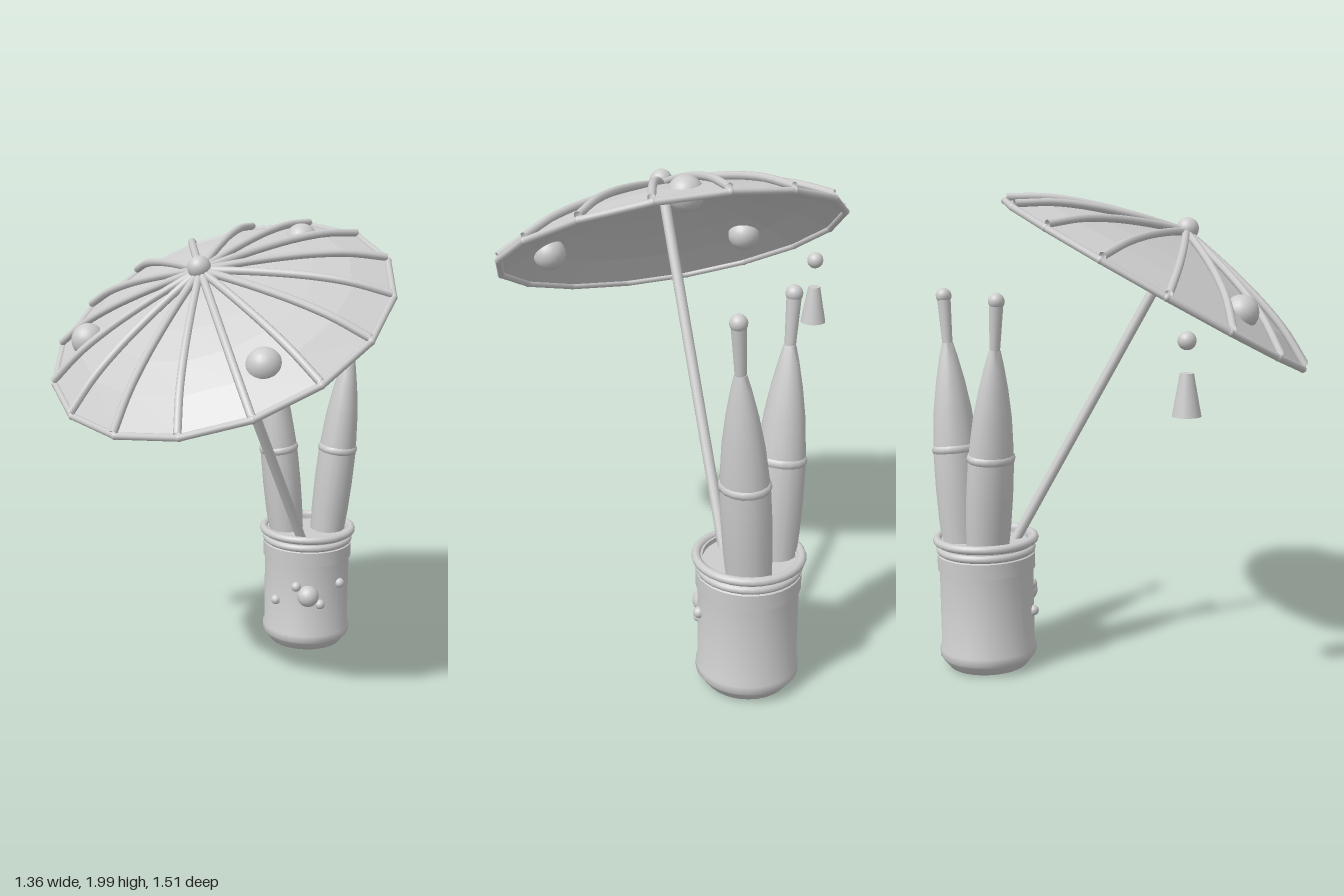
import * as THREE from 'three';
import { toCreasedNormals } from 'three/addons/utils/BufferGeometryUtils.js';

export function createModel() {
  const model = new THREE.Group();
  const grey = new THREE.MeshStandardMaterial({ color: 0xcccccc });
  const greyThin = grey.clone();
  greyThin.side = THREE.DoubleSide;
  grey.name = greyThin.name = 'grey';

  const V = (x, y, z) => new THREE.Vector3(x, y, z);
  const add = (parent, name, geometry, pos = [0, 0, 0], material = grey) => {
    const mesh = new THREE.Mesh(geometry, material);
    mesh.name = name;
    mesh.position.set(...pos);
    parent.add(mesh);
    return mesh;
  };
  const ball = (parent, name, r, pos) => add(parent, name, new THREE.SphereGeometry(r, 20, 14), pos);
  const lathe = (points, segments) => toCreasedNormals(
    new THREE.LatheGeometry(points.map(([r, y]) => new THREE.Vector2(r, y)), segments), 0.9);
  const hoop = (parent, name, r, tube, y, sides) => {
    const mesh = add(parent, name, new THREE.TorusGeometry(r, tube, 10, sides), [0, y, 0]);
    mesh.rotation.x = Math.PI / 2;
  };

  // Pot with raised bands, rolled rim and a filled top
  const pot = new THREE.Group();
  pot.name = 'pot';
  pot.position.set(0.394, 0, -0.528);
  model.add(pot);
  add(pot, 'potBody', lathe([[0, 0], [0.15, 0], [0.168, 0.006], [0.185, 0.028], [0.196, 0.042], [0.205, 0.055],
    [0.205, 0.085], [0.198, 0.1], [0.198, 0.43], [0.206, 0.43], [0.206, 0.495], [0.198, 0.5],
    [0.198, 0.56], [0.18, 0.56], [0.18, 0.54], [0, 0.54]], 32));
  hoop(pot, 'potRim', 0.205, 0.018, 0.557, 32);
  hoop(pot, 'potNeckRing', 0.192, 0.018, 0.515, 32);

  // Bead cluster on the pot's front
  ball(pot, 'largeBead', 0.05, [0, 0.287, 0.2]);
  for (const [x, y] of [[-0.055, 0.33], [0.056, 0.244], [-0.147, 0.244], [0.147, 0.33]])
    ball(pot, 'smallBead', 0.023, [x, y, Math.sqrt(0.04 - x * x)]);

  // Two slightly flattened bottles leaning apart, each with a stem and a ball tip
  for (const side of [1, -1]) {
    const bottle = new THREE.Group();
    bottle.name = side > 0 ? 'leftBottle' : 'rightBottle';
    bottle.position.set(0.393 + side * 0.096, 0.52, -0.582);
    bottle.rotation.z = -side * 0.1;
    model.add(bottle);
    const body = new THREE.Group();
    body.name = 'bottleShell';
    body.scale.x = 0.88;
    bottle.add(body);
    add(body, 'bottleBody', lathe([[0, 0], [0.09, 0], [0.097, 0.12], [0.1, 0.25], [0.098, 0.4],
      [0.093, 0.46], [0.082, 0.58], [0.062, 0.7], [0.04, 0.8], [0.024, 0.86], [0, 0.86]], 16));
    hoop(body, 'bottleRing', 0.081, 0.023, 0.413, 16);
    add(bottle, 'bottleStem', new THREE.CylinderGeometry(0.028, 0.021, 0.19, 14), [0, 0.943, 0]);
    ball(bottle, 'bottleTip', 0.033, [0, 1.056, 0]);
  }

  // Tilted parasol: local y runs along the pole, local origin is the rim centre
  const R = 0.71, N = 16, turn = -0.135;
  const dome = [[1, 0], [0.8, 0.078], [0.6, 0.132], [0.4, 0.173], [0.2, 0.207], [0, 0.235]];
  const parasol = new THREE.Group();
  parasol.name = 'parasol';
  parasol.position.set(0, 1.617, 0.082);
  parasol.quaternion.setFromUnitVectors(V(0, 1, 0), V(-0.295, 0.874, 0.386).normalize());
  model.add(parasol);

  const profile = dome.map(([f, h]) => new THREE.Vector2(f * R, h));
  const canopy = new THREE.LatheGeometry(profile, N, Math.PI / 2 - turn).toNonIndexed();
  canopy.computeVertexNormals();
  add(parasol, 'canopy', canopy, [0, 0, 0], greyThin);

  // Ribs lying on top of the canopy, and straight rim sections
  const rimPoint = i => {
    const a = turn + i * Math.PI * 2 / N;
    return V(Math.cos(a) * R, 0, Math.sin(a) * R);
  };
  for (let i = 0; i < N; i++) {
    const p = rimPoint(i), q = rimPoint(i + 1);
    const path = dome.map(([f, h]) => V(p.x * f, h + 0.017, p.z * f));
    add(parasol, 'rib', new THREE.TubeGeometry(new THREE.CatmullRomCurve3(path), 16, 0.016, 8), [0, 0, 0], greyThin);
    add(parasol, 'rimSection', new THREE.TubeGeometry(new THREE.LineCurve3(p, q), 1, 0.014, 8), [0, 0, 0], greyThin);
    ball(parasol, 'rimJoint', 0.015, p.toArray());
  }
  ball(parasol, 'finial', 0.047, [0, 0.265, 0]);
  add(parasol, 'pole', new THREE.CylinderGeometry(0.022, 0.022, 1.56, 14), [0, -0.55, 0]);

  // Round studs set through the canopy
  for (const pos of [[0.174, 1.54, 0.578], [-0.535, 1.54, 0.055], [0.33, 1.92, -0.197]])
    ball(model, 'canopyStud', 0.069, pos);

  // Small hanging bell and bead
  add(model, 'bell', new THREE.CylinderGeometry(0.026, 0.055, 0.16, 20), [-0.59, 1.26, -0.272]);
  ball(model, 'bellBead', 0.035, [-0.59, 1.459, -0.272]);

  return model;
}
